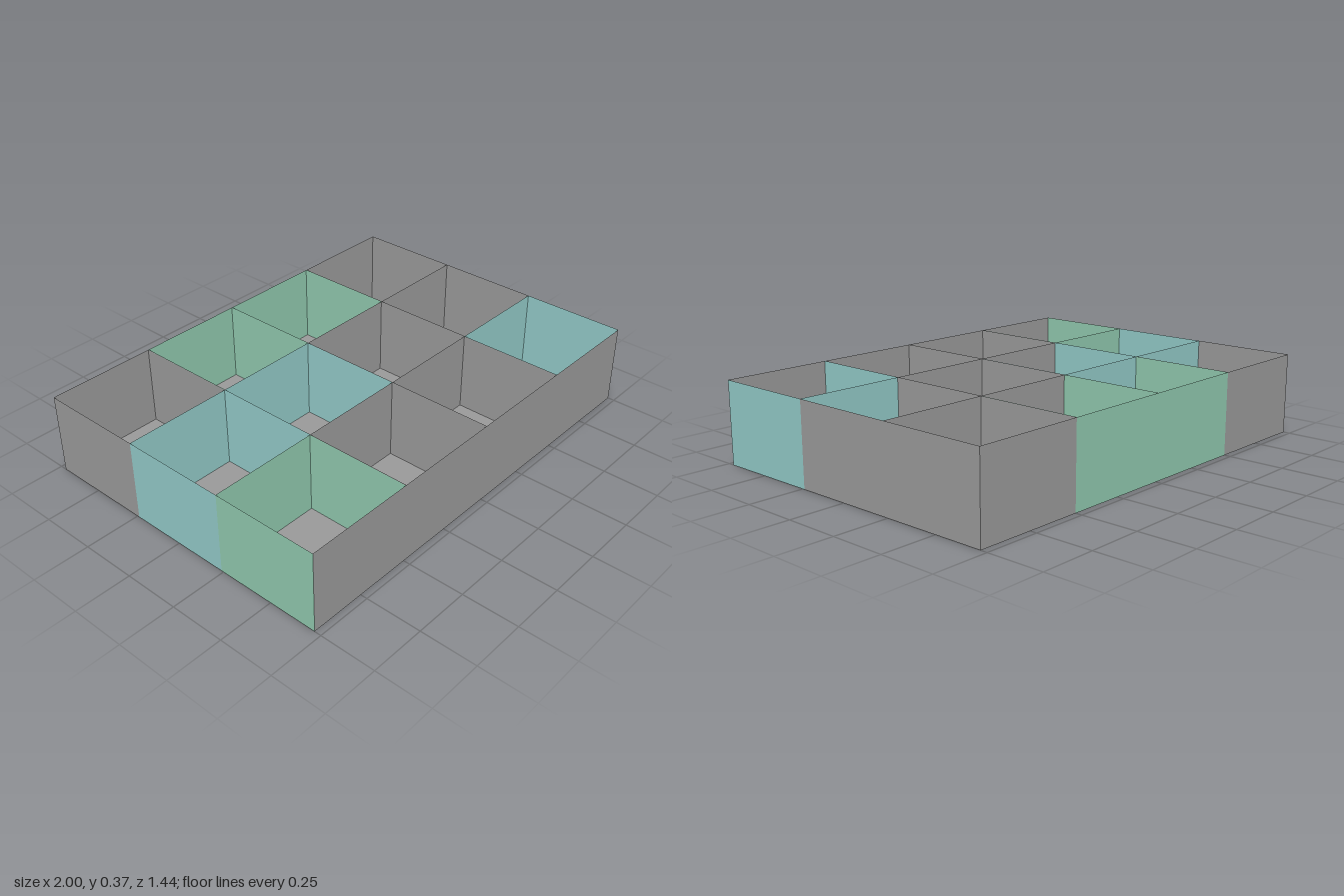
import * as THREE from 'three';

const sheet = (name, color) => {
  const m = new THREE.MeshStandardMaterial({ color, side: THREE.DoubleSide });
  m.name = name;
  return m;
};

export function createModel() {
  const materials = {
    g: sheet('grey', 0x999999),
    t: sheet('teal', 0x91c8c6),
    n: sheet('green', 0x8fc7ad),
  };
  const W = 0.5, D = 0.48, H = 0.365, GAP = 0.0015;
  // Cell colours, back row first, each row from -x to +x
  const layout = ['gnng', 'ttgg', 'nggt'];

  const tray = new THREE.Group();
  tray.name = 'dividedTray';

  const addPanel = (parent, name, w, h, color, pos, rot = [0, 0, 0]) => {
    const panel = new THREE.Mesh(new THREE.PlaneGeometry(w, h), materials[color]);
    panel.name = name;
    panel.position.set(...pos);
    panel.rotation.set(...rot);
    parent.add(panel);
  };

  // Each compartment has its own back and side sheets
  layout.forEach((row, j) => [...row].forEach((color, i) => {
    const cell = new THREE.Group();
    cell.name = `compartment_${j}_${i}`;
    cell.position.set((i - 1.5) * W, 0, (j - 1) * D);
    addPanel(cell, 'backWall', W, H, color, [0, H / 2, -D / 2]);
    for (const side of [-1, 1]) {
      const outer = side < 0 ? i === 0 : i === 3;
      const x = side * (W / 2 - (outer ? 0 : GAP));
      addPanel(cell, side < 0 ? 'rightWall' : 'leftWall', D, H, color,
        [x, H / 2, 0], [0, side * Math.PI / 2, 0]);
    }
    tray.add(cell);
  }));

  // Shared front sheet and floor
  addPanel(tray, 'frontWall', 4 * W, H, 'g', [0, H / 2, 1.5 * D]);
  addPanel(tray, 'floor', 4 * W, 3 * D, 'g', [0, 0, 0], [-Math.PI / 2, 0, 0]);

  return tray;
}
